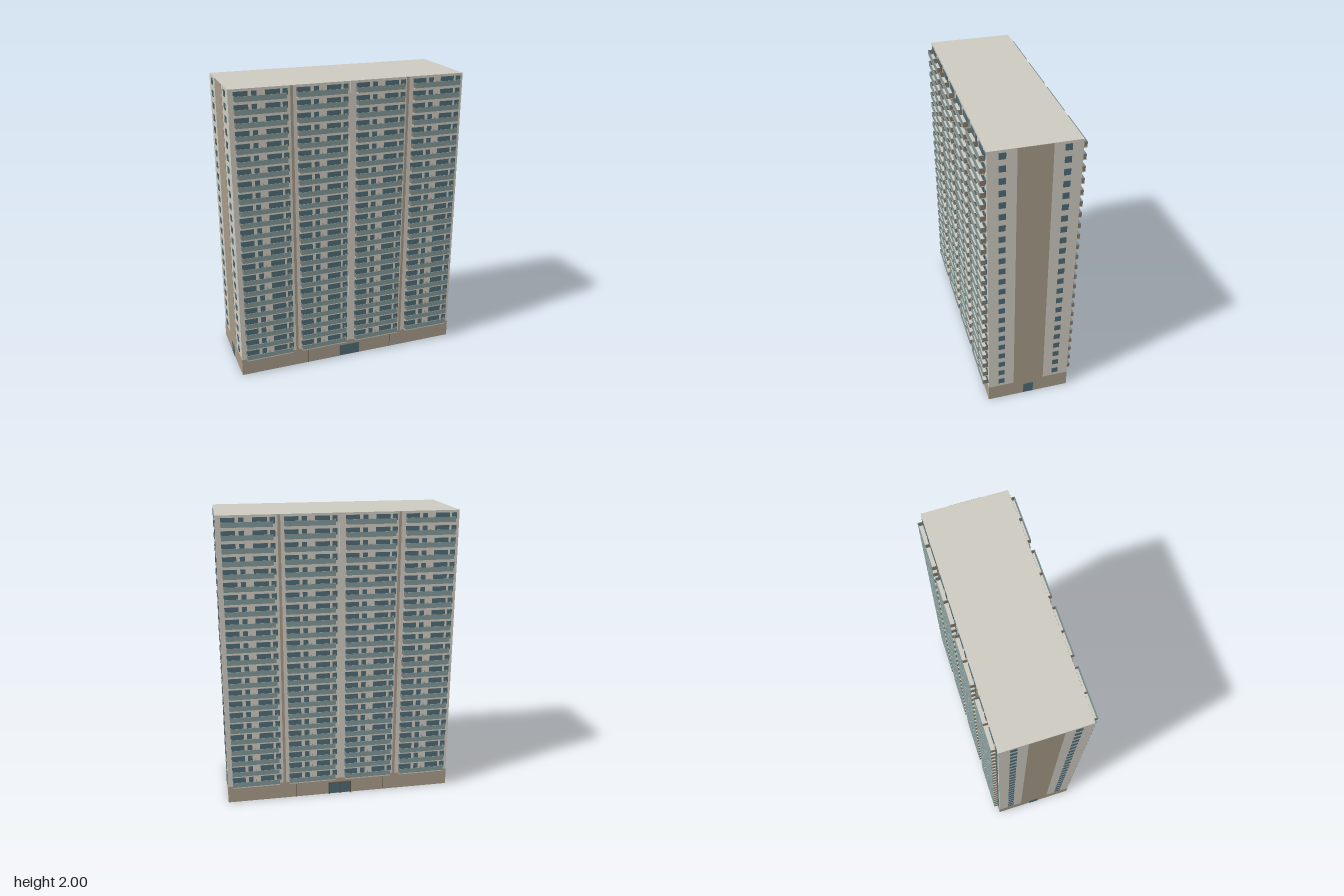
import * as THREE from 'three';
import { mergeGeometries } from 'three/addons/utils/BufferGeometryUtils.js';

const mat = (color) => new THREE.MeshStandardMaterial({ color });
const wallMat = mat(0xcdcac0);
const stoneMat = mat(0xa69a88);
const windowMat = mat(0x4f6a74);
const railMat = mat(0x809594);
const sideMat = mat(0x85796a);
const jointMat = mat(0x5c5549);

const FLOORS = 23, BASE = 0.12, TOP = 2;
const STEP = (TOP - BASE) / FLOORS;
const HX = 0.79, HZ = 0.282;
const BAY_STARTS = [-0.757, -0.36, 0.036, 0.432];
const BALCONY_W = 0.325, BALCONY_D = 0.034;

// Box given by its minimum and maximum corners
function box(x0, x1, y0, y1, z0, z1) {
  return new THREE.BoxGeometry(x1 - x0, y1 - y0, z1 - z0)
    .translate((x0 + x1) / 2, (y0 + y1) / 2, (z0 + z1) / 2);
}

function part(name, geometries, material) {
  const mesh = new THREE.Mesh(mergeGeometries(geometries), material);
  mesh.name = name;
  return mesh;
}

// One long face: four bays of windows and balconies on every floor
function createFacade(name) {
  const windows = [], slabs = [], rails = [], ends = [];
  const zOut = HZ + BALCONY_D;
  for (let i = 0; i < FLOORS; i++) {
    const y = BASE + i * STEP;
    for (const x of BAY_STARTS) {
      // Wide window, balcony door, wide window, small end window
      for (const [a, b, low] of [[0, 0.09, 0.026], [0.112, 0.144, 0.008],
        [0.197, 0.291, 0.026], [0.307, 0.34, 0.026]]) {
        windows.push(box(x + a, x + b, y + low, y + 0.066, HZ - 0.01, HZ + 0.004));
      }
      slabs.push(box(x, x + BALCONY_W, y + 0.002, y + 0.009, HZ - 0.01, zOut));
      rails.push(box(x, x + BALCONY_W, y + 0.009, y + 0.042, zOut - 0.004, zOut));
      for (const e of [0, BALCONY_W / 2, BALCONY_W - 0.004]) {
        ends.push(box(x + e, x + e + 0.004, y + 0.009, y + 0.042, HZ - 0.01, zOut - 0.004));
      }
    }
  }
  const facade = new THREE.Group();
  facade.name = name;
  facade.add(
    part('facadeWindows', windows, windowMat),
    part('balconySlabs', slabs, wallMat),
    part('balconyRailings', rails, railMat),
    part('balconySides', ends, sideMat),
    // Vertical strips between the bays
    part('bayStrips', [-0.393, 0.393].map((x) =>
      box(x - 0.009, x + 0.009, BASE, TOP - 0.002, HZ - 0.01, HZ + 0.004)), stoneMat),
    part('centreStrip', [box(-0.008, 0.008, BASE, TOP - 0.002, HZ - 0.01, HZ + 0.003)], wallMat),
    part('baseJoints', [-0.315, 0.315].map((x) =>
      box(x - 0.0015, x + 0.0015, 0.002, BASE, HZ, HZ + 0.004)), jointMat),
    part('entranceDoor', [box(-0.075, 0.075, 0.004, 0.086, HZ - 0.01, HZ + 0.006)], windowMat),
  );
  return facade;
}

// One short face: a stone band between two columns of windows
function createEnd(name) {
  const windows = [];
  for (let i = 0; i < FLOORS; i++) {
    const y = BASE + i * STEP + 0.024;
    for (const z of [-0.192, 0.192]) {
      windows.push(box(HX - 0.01, HX + 0.004, y, y + 0.041, z - 0.021, z + 0.021));
    }
  }
  const end = new THREE.Group();
  end.name = name;
  end.add(
    part('endWindows', windows, windowMat),
    part('stoneBand', [box(HX - 0.01, HX + 0.002, BASE, TOP - 0.001, -0.106, 0.106)], stoneMat),
    part('sideDoor', [box(HX - 0.01, HX + 0.005, 0.004, 0.087, -0.035, 0.035)], windowMat),
  );
  return end;
}

export function createModel() {
  const tower = new THREE.Group();
  tower.name = 'apartmentTower';
  tower.add(
    part('towerBody', [box(-HX, HX, BASE, TOP, -HZ, HZ)], wallMat),
    part('groundFloor', [box(-HX - 0.002, HX + 0.002, 0, BASE, -HZ - 0.002, HZ + 0.002)], stoneMat),
  );

  const front = createFacade('frontFacade');
  const back = createFacade('backFacade');
  back.rotation.y = Math.PI;
  const left = createEnd('leftEnd');
  const right = createEnd('rightEnd');
  right.rotation.y = Math.PI;

  // Frame around the back entrance
  const z0 = -HZ - 0.013, z1 = -HZ;
  const frame = [-0.077, 0, 0.077].map((x) => box(x - 0.003, x + 0.003, 0, 0.086, z0, z1));
  frame.push(box(-0.08, 0.08, 0.084, 0.09, z0, z1));
  tower.add(front, back, left, right, part('backEntranceFrame', frame, jointMat));
  return tower;
}
